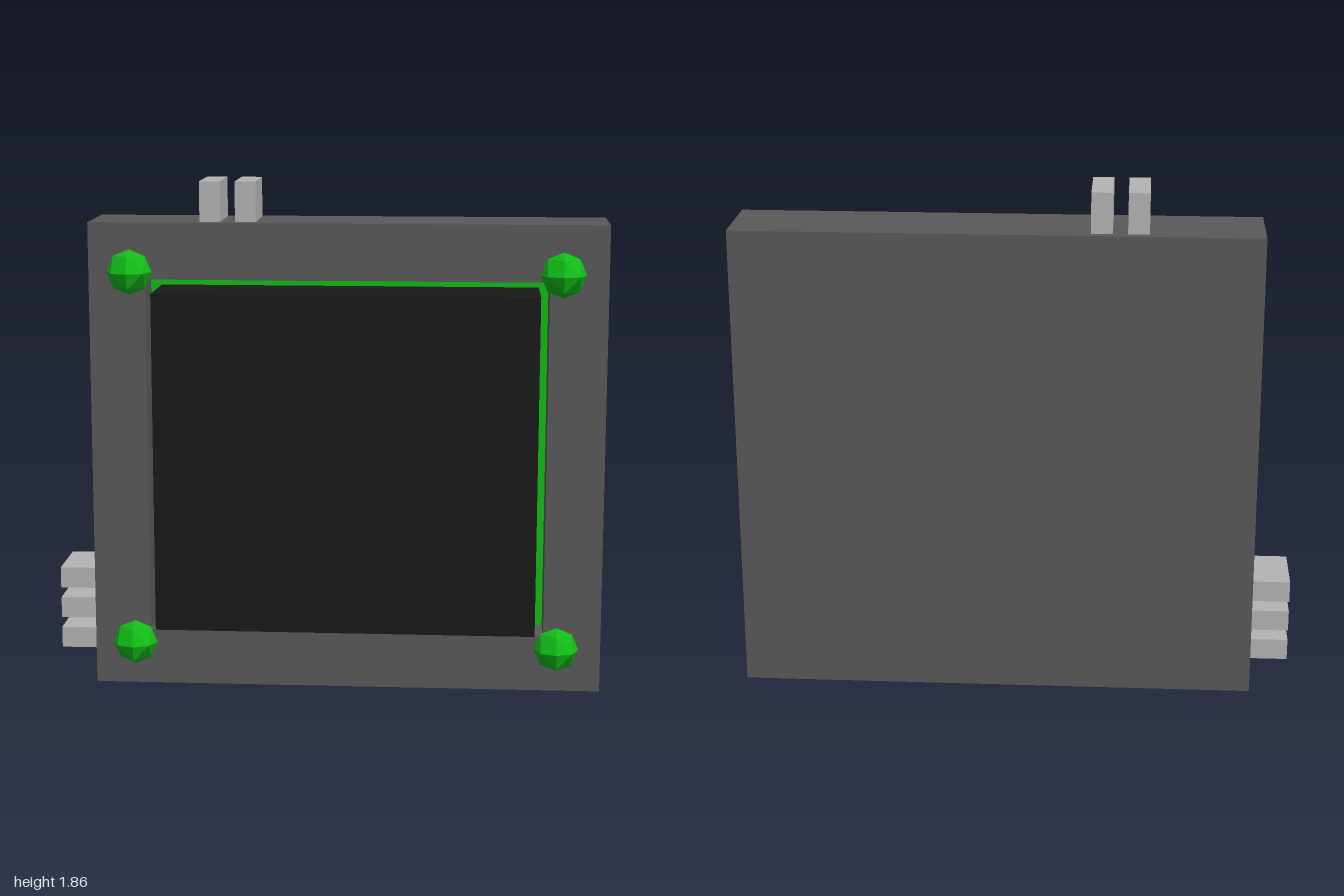
import * as THREE from 'three';

const mat = (color, flatShading = false) => new THREE.MeshStandardMaterial({ color, flatShading });

// Box given by its min and max corners
function block(name, [x0, y0, z0], [x1, y1, z1], material) {
  const mesh = new THREE.Mesh(new THREE.BoxGeometry(x1 - x0, y1 - y0, z1 - z0), material);
  mesh.position.set((x0 + x1) / 2, (y0 + y1) / 2, (z0 + z1) / 2);
  mesh.name = name;
  return mesh;
}

function rectangle(PathType, x0, y0, x1, y1) {
  const p = new PathType();
  p.moveTo(x0, y0);
  p.lineTo(x1, y0);
  p.lineTo(x1, y1);
  p.lineTo(x0, y1);
  p.closePath();
  return p;
}

export function createModel() {
  const model = new THREE.Group();
  model.name = 'wallPanel';
  const grey = mat(0x595959), black = mat(0x1a1a1a), green = mat(0x11bb16);
  const greenFlat = mat(0x11bb16, true), light = mat(0xb4b4b4);
  const back = -0.23, floor = -0.08, front = 0.075;

  // Casing: solid back slab and a front frame around the recess
  model.add(block('casingBack', [-0.865, 0, back], [1, 1.715, floor], grey));
  const outline = rectangle(THREE.Shape, -0.865, 0, 1, 1.715);
  outline.holes.push(rectangle(THREE.Path, -0.66, 0.205, 0.79, 1.51));
  const frame = new THREE.Mesh(
    new THREE.ExtrudeGeometry(outline, { depth: front - floor, bevelEnabled: false }), grey);
  frame.position.z = floor;
  frame.name = 'casingFrame';
  model.add(frame);

  // Green recess floor, seen as a thin border around the screen
  model.add(block('recessFloor', [-0.66, 0.205, floor - 0.01], [0.79, 1.51, floor + 0.01], green));
  model.add(block('screen', [-0.62, 0.245, floor], [0.755, 1.475, 0.215], black));

  // Faceted corner knobs
  for (const x of [-0.705, 0.835]) {
    for (const y of [0.18, 1.545]) {
      const knob = new THREE.Mesh(new THREE.OctahedronGeometry(0.081, 1), greenFlat);
      knob.position.set(x, y, 0.15);
      knob.name = 'cornerKnob';
      model.add(knob);
    }
  }

  // Tabs on the top edge and on the side
  for (const x of [-0.465, -0.337]) {
    model.add(block('topTab', [x, 1.715, -0.2], [x + 0.075, 1.86, 0.04], light));
  }
  for (const y of [0.12, 0.235, 0.35]) {
    model.add(block('sideTab', [-1, y, -0.2], [-0.865, y + 0.077, 0.04], light));
  }
  return model;
}
